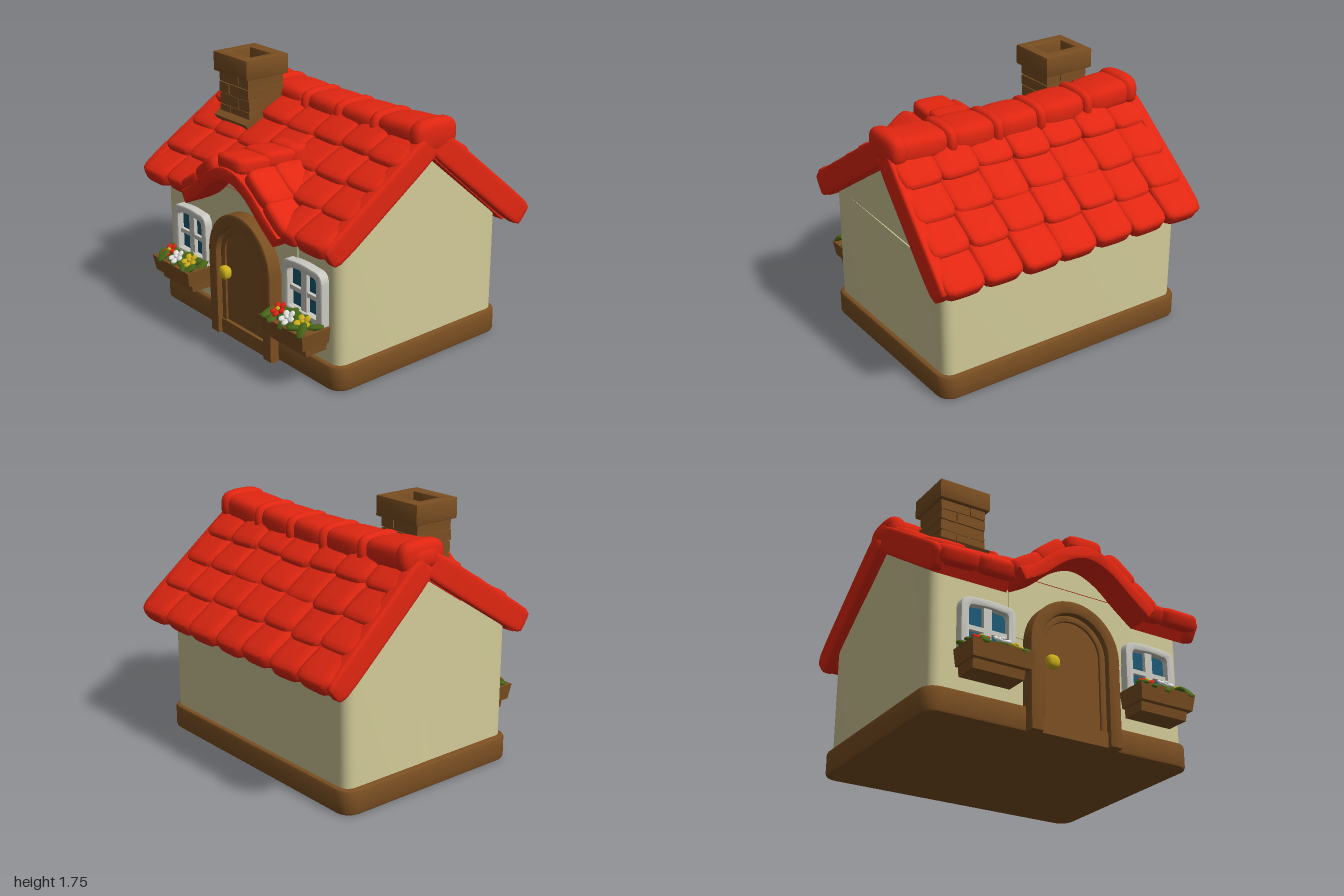
import * as THREE from 'three';
import { mergeVertices, toCreasedNormals } from 'three/addons/utils/BufferGeometryUtils.js';

const mat = (name, color, side = THREE.FrontSide) => {
  const m = new THREE.MeshStandardMaterial({ color, side });
  m.name = name;
  return m;
};

export function createModel() {
  const root = new THREE.Group();
  root.name = 'cottage';
  const red = mat('roof red', 0xe02611), cream = mat('plaster cream', 0xd2ca98), brown = mat('wood brown', 0x7b4f22);
  const white = mat('frame grey white', 0xcbcac2), blue = mat('glass blue', 0x1d5a75), green = mat('leaf green', 0x4a6a1a);
  const yellow = mat('yellow', 0xcfb01c), petalWhite = mat('petal white', 0xe8e8e4);
  let seed = 7;
  const rnd = a => { seed = (seed * 16807) % 2147483647; return (seed / 2147483647 - 0.5) * 2 * a; };

  const add = (parent, name, geo, m, x = 0, y = 0, z = 0) => {
    const mesh = new THREE.Mesh(geo, m);
    mesh.name = name;
    mesh.position.set(x, y, z);
    parent.add(mesh);
    return mesh;
  };
  const group = (name, parent = root) => { const g = new THREE.Group(); g.name = name; parent.add(g); return g; };
  const box = (w, h, d) => new THREE.BoxGeometry(w, h, d);
  // soft cushion: a box pulled onto a superellipsoid
  const pillow = (w, h, d, p = 5, n = 6) => {
    let g = new THREE.BoxGeometry(2, 2, 2, n, n, n);
    g.deleteAttribute('uv');
    g.deleteAttribute('normal');
    g = mergeVertices(g, 1e-4);
    const a = g.attributes.position, v = new THREE.Vector3();
    for (let i = 0; i < a.count; i++) {
      v.fromBufferAttribute(a, i);
      const r = (Math.abs(v.x) ** p + Math.abs(v.y) ** p + Math.abs(v.z) ** p) ** (1 / p);
      a.setXYZ(i, v.x / r * w / 2, v.y / r * h / 2, v.z / r * d / 2);
    }
    g.computeVertexNormals();
    return g;
  };
  const extrude = (shape, depth, bevel = 0) => toCreasedNormals(new THREE.ExtrudeGeometry(shape, {
    depth: depth - 2 * bevel, bevelEnabled: bevel > 0, bevelSize: bevel, bevelThickness: bevel, bevelOffset: -bevel,
    bevelSegments: 2, curveSegments: 16 }).translate(0, 0, bevel), 0.6);

  // roof section: ridge line of the underside and the two slopes
  const RY = 1.35, RZ = -0.06, SF = 0.66, SB = 0.87;
  const under = z => RY - (z > RZ ? SF * (z - RZ) : SB * (RZ - z));
  // footprint with round corners and a point below the ridge on each side
  const footprint = (x0, x1, z0, z1, r) => {
    const pts = [];
    [[x1, z1, 1, 1, -1], [x1, z0, 1, -1, 0], [x0, z0, -1, -1, 1], [x0, z1, -1, 1, 2]].forEach(([x, z, sx, sz, q], i) => {
      for (let k = 0; k <= 5; k++) {
        const a = (q + k / 5) * Math.PI / 2;
        pts.push(new THREE.Vector2(x - sx * r + r * Math.cos(a), -(z - sz * r) + r * Math.sin(a)));
      }
      if (i === 0) pts.push(new THREE.Vector2(x1, -RZ));
      if (i === 2) pts.push(new THREE.Vector2(x0, -RZ));
    });
    return new THREE.Shape(pts);
  };

  // plinth and gabled walls
  add(root, 'plinth', extrude(footprint(-0.99, 0.9, -0.72, 0.68, 0.1), 0.165, 0.02).rotateX(-Math.PI / 2), brown);
  const wall = new THREE.ExtrudeGeometry(footprint(-0.95, 0.87, -0.69, 0.65, 0.07), { depth: 1, bevelEnabled: false }).rotateX(-Math.PI / 2);
  const wp = wall.attributes.position;
  for (let i = 0; i < wp.count; i++) {
    if (wp.getY(i) < 0.5) { wp.setY(i, 0.1); continue; }
    wp.setY(i, under(wp.getZ(i)) + 0.03);
    if (wp.getY(i) > 1.2) wp.setX(i, wp.getX(i) * 0.96);
  }
  add(root, 'walls', toCreasedNormals(wall, 0.6), cream);

  // two tiled slopes; local z runs down the slope, local y is its normal
  const slopes = [
    { name: 'frontRoof', k: 1, m: SF, len: 0.78, x0: s => -0.95 - 0.045 * s, x1: s => 0.91 + 0.01 * s, f0: -0.045, f1: 0.01 },
    { name: 'backRoof', k: -1, m: SB, len: 0.86, x0: s => -0.96 - 0.03 * s, x1: s => 0.91 + 0.07 * s, f0: -0.03, f1: 0.07 }];
  const tileGeo = pillow(0.285, 0.125, 0.32), narrowTile = pillow(0.18, 0.125, 0.32), rakeGeo = pillow(0.085, 0.17, 0.99, 8, 8);
  for (const { name, k, m, len, x0, x1, f0, f1 } of slopes) {
    const g = group(name);
    g.position.set(0, RY, RZ);
    g.rotation.set(Math.atan(m), k > 0 ? 0 : Math.PI, 0, 'YXZ');
    add(g, 'roofSlab', box(1.83, 0.12, len + 0.05), red, -0.015 * k, 0.06, (len - 0.05) / 2);
    if (k > 0) for (const [a, b] of [[-0.97, -0.47], [0.5, 0.9]])
      add(g, 'eaveSlab', box(b - a, 0.11, 0.2), red, (a + b) / 2, 0.06, 0.79);
    for (const [edge, f, inset] of [[x0, f0, 0.02], [x1, f1, -0.02]]) {
      const rake = add(g, 'rakeBoard', rakeGeo, red, k * (edge(0.44) + inset), 0.09, 0.435);
      rake.rotation.y = Math.atan(k * f);
    }
    for (let r = 0; r < 4; r++) for (let c = 0; c < 7; c++) {
      const s = 0.79 - 0.23 * r, gap = k > 0 && r === 0;
      if (gap && c > 1 && c < 5) continue;
      const half = gap && c === 5;
      const x = half ? 0.565 : x0(s) + (x1(s) - x0(s)) * (c + 0.5) / 7;
      const t = add(g, 'roofTile', half ? narrowTile : tileGeo, red, k * x, 0.118 + rnd(0.008), s + rnd(0.012));
      t.rotation.set(-0.15 + rnd(0.03), rnd(0.03), rnd(0.05));
    }
  }

  // sagging ridge with collars
  const ridge = group('ridge');
  const joints = [-0.96, -0.54, -0.17, 0.16, 0.5, 0.92];
  joints.forEach((x, i) => {
    const sag = v => 1.455 + 0.04 * v * v;
    if (i < 5) {
      const w = joints[i + 1] - x, mid = x + w / 2;
      const cap = add(ridge, 'ridgeCap', pillow(w + 0.03, 0.19, 0.32, 3.5), red, mid, sag(mid), -0.085);
      cap.rotation.z = 0.08 * mid;
    }
    const end = i === 0 ? 0.06 : i === 5 ? -0.05 : 0;
    add(ridge, 'ridgeCollar', pillow(end ? 0.13 : 0.09, 0.21, 0.34, 3), red, x + end, sag(x), -0.085);
  });

  // curved gable over the door
  const dormer = group('dormer');
  const bell = new THREE.SplineCurve([[-0.43, 0.89], [-0.3, 0.965], [-0.12, 1.11], [0.04, 1.165], [0.2, 1.11], [0.36, 0.98], [0.49, 0.88]]
    .map(p => new THREE.Vector2(...p)));
  const lower = bell.getSpacedPoints(28);
  const normalAt = t => { const d = bell.getTangentAt(t); return new THREE.Vector2(-d.y, d.x); };
  const upper = lower.map((p, i) => p.clone().addScaledVector(normalAt(i / 28), 0.09));
  add(dormer, 'dormerBand', extrude(new THREE.Shape([...lower, ...upper.reverse()]), 0.65, 0.015), red, 0, 0, 0.2);
  const gable = new THREE.Shape([new THREE.Vector2(-0.43, 0.6), new THREE.Vector2(0.49, 0.6),
    ...lower.map(p => new THREE.Vector2(p.x, p.y + 0.02)).reverse()]);
  add(dormer, 'dormerWall', extrude(gable, 0.455), cream, 0, 0, 0.2);
  const dormerTile = pillow(0.27, 0.11, 0.27);
  for (let r = 0; r < 3; r++) for (let i = 0; i < 5; i++) {
    const t = 0.1 + 0.2 * i, p = bell.getPointAt(t), n = normalAt(t);
    const tile = add(dormer, 'dormerTile', dormerTile, red, p.x + n.x * 0.1, p.y + n.y * 0.1, 0.7 - 0.2 * r);
    tile.rotation.set(-0.1, 0, Math.atan2(-n.x, n.y) + rnd(0.03), 'ZXY');
  }

  // arched door
  const door = group('door');
  const arch = (ro, ri) => {
    const s = new THREE.Shape();
    s.moveTo(ro, 0);
    s.lineTo(ro, 0.575);
    s.absarc(0, 0.575, ro, 0, Math.PI, false);
    s.lineTo(-ro, 0);
    if (ri) {
      s.lineTo(-ri, 0);
      s.lineTo(-ri, 0.575);
      s.absarc(0, 0.575, ri, Math.PI, 0, true);
      s.lineTo(ri, 0);
    }
    return s;
  };
  add(door, 'doorFrame', extrude(arch(0.325, 0.24), 0.145, 0.012), brown, -0.005, 0, 0.6);
  add(door, 'doorTrim', extrude(arch(0.245, 0.2), 0.105, 0.005), brown, -0.005, 0, 0.6);
  add(door, 'doorLeaf', extrude(arch(0.25), 0.09), brown, -0.005, 0, 0.6);
  add(door, 'doorSill', box(0.48, 0.1, 0.11), brown, -0.005, 0.05, 0.66);
  add(door, 'doorKnob', pillow(0.09, 0.09, 0.07, 2.5), yellow, -0.17, 0.46, 0.73);

  // windows with planters
  const pane = (w, y0, y1, r, Type = THREE.Shape) => {
    const s = new Type();
    s.moveTo(-w, y0);
    s.lineTo(w, y0);
    s.lineTo(w, y1 - r);
    s.quadraticCurveTo(w, y1, w - r, y1 - 0.005);
    s.quadraticCurveTo(0, y1 + 0.01, r - w, y1 - 0.005);
    s.quadraticCurveTo(-w, y1, -w, y1 - r);
    s.lineTo(-w, y0);
    return s;
  };
  const frame = pane(0.19, 0.4, 0.765, 0.08);
  frame.holes.push(pane(0.135, 0.45, 0.715, 0.04, THREE.Path));
  const frameGeo = extrude(frame, 0.1, 0.01);
  const taperBox = (w, h, d, k) => {
    const g = box(w, h, d), p = g.attributes.position;
    for (let i = 0; i < p.count; i++) if (p.getY(i) < 0) { p.setX(i, p.getX(i) * k); if (p.getZ(i) > 0) p.setZ(i, p.getZ(i) * k * 0.9); }
    g.computeVertexNormals();
    return g;
  };
  const petal = pillow(0.05, 0.022, 0.04, 2.5, 3), leaf = pillow(0.11, 0.03, 0.06, 2.5, 3), heart = pillow(0.03, 0.03, 0.03, 2, 3);
  for (const x of [-0.6, 0.59]) {
    const w = group('window');
    w.position.x = x;
    add(w, 'windowFrame', frameGeo, white, 0, 0, 0.61);
    add(w, 'glass', box(0.28, 0.28, 0.008), blue, 0, 0.585, 0.66);
    add(w, 'mullion', box(0.055, 0.28, 0.04), white, 0, 0.585, 0.67);
    add(w, 'crossBar', box(0.28, 0.03, 0.035), white, 0, 0.57, 0.67);
    const b = group('planter', w);
    add(b, 'planterBox', taperBox(0.42, 0.105, 0.22, 0.93), brown, 0, 0.36, 0.765);
    add(b, 'planterFoot', taperBox(0.355, 0.06, 0.17, 0.97), brown, 0, 0.28, 0.74);
    for (let i = 0; i < 14; i++) {
      const l = add(b, 'leaf', leaf, green, -0.17 + 0.34 * (i % 7) / 6, 0.425 + rnd(0.01), (i < 7 ? 0.83 : 0.74) + rnd(0.02));
      l.rotation.set(0.3 + rnd(0.4), rnd(3), rnd(0.3));
    }
    [[-0.11, red], [0.015, petalWhite], [0.125, yellow]].forEach(([fx, m], i) => {
      const f = group('flower', b);
      f.position.set(fx, 0.458, i === 1 ? 0.83 : 0.8);
      f.rotation.set(0.6, 0, -fx);
      for (let j = 0; j < 5; j++) {
        const a = j * Math.PI * 0.4;
        add(f, 'petal', petal, m, 0.033 * Math.cos(a), 0, 0.033 * Math.sin(a)).rotation.set(0, -a, 0.25);
      }
      add(f, 'flowerHeart', heart, i === 1 ? petalWhite : yellow, 0, 0.008, 0);
    });
  }

  // chimney with hollow cap and raised bricks
  const chimney = group('chimney');
  chimney.position.set(-0.575, 0, 0.19);
  const capShape = new THREE.Shape([[-0.182, -0.17], [0.182, -0.17], [0.182, 0.17], [-0.182, 0.17]].map(p => new THREE.Vector2(...p)));
  capShape.holes.push(new THREE.Path([[-0.115, -0.08], [-0.115, 0.08], [0.115, 0.08], [0.115, -0.08]].map(p => new THREE.Vector2(...p))));
  add(chimney, 'chimneyCap', extrude(capShape, 0.135, 0.008).rotateX(-Math.PI / 2), brown, 0, 1.62, 0);
  add(chimney, 'chimneyStack', box(0.3, 0.45, 0.27), brown, 0, 1.42, 0);
  add(chimney, 'chimneyFlashing', box(0.355, 0.07, 0.39), brown, 0, 1.4, 0).rotation.x = Math.atan(SF);
  for (let r = 0; r < 4; r++) {
    const y = 1.36 + 0.077 * r, split = r % 2 ? 0.05 : -0.05;
    for (const [a, b] of [[-0.16, split - 0.005], [split + 0.005, 0.16]])
      add(chimney, 'brick', box(b - a, 0.068, 0.285 + rnd(0.008)), brown, (a + b) / 2, y, 0).rotation.z = rnd(0.03);
  }
  return root;
}
